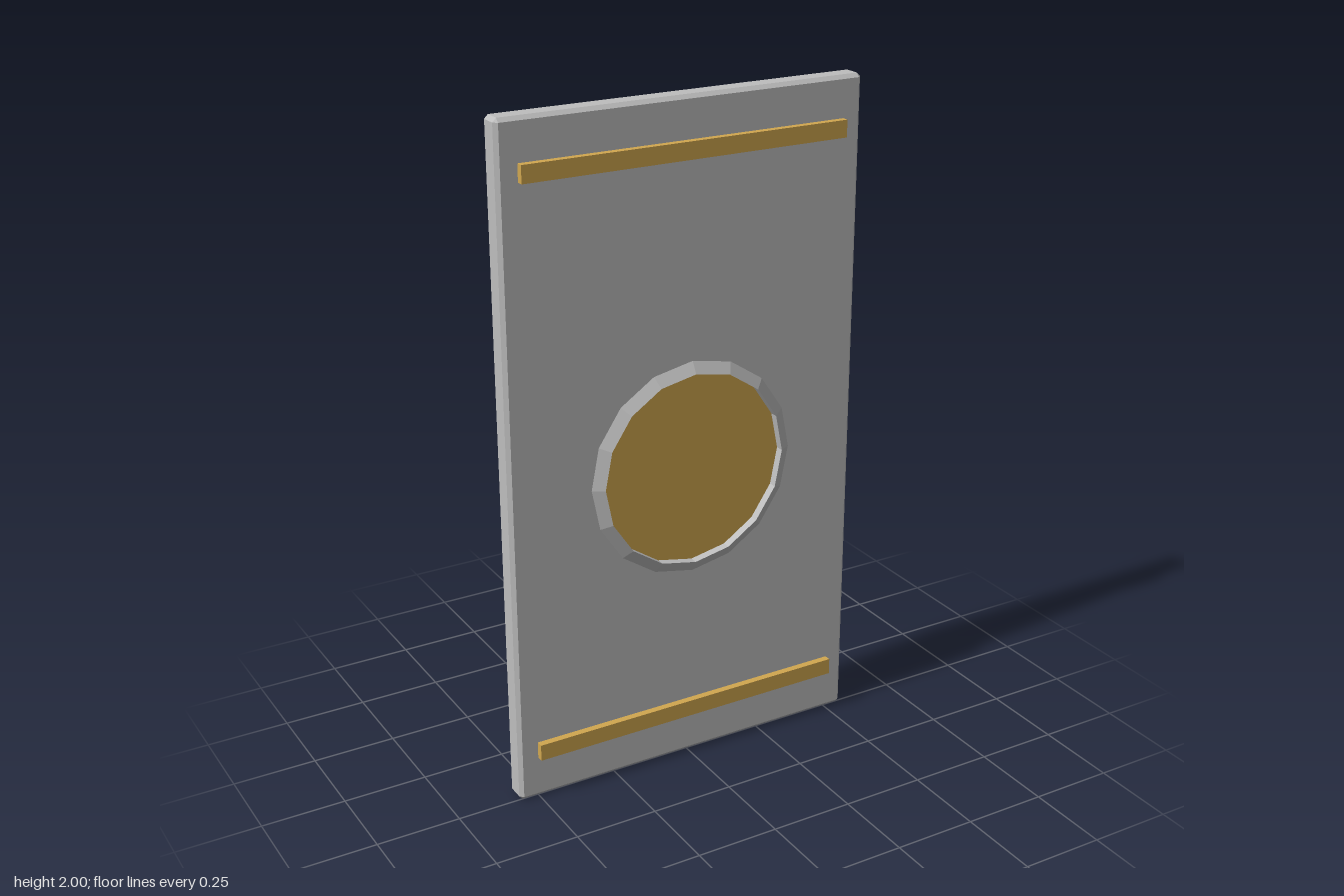
import * as THREE from 'three';
import { ConvexGeometry } from 'three/addons/geometries/ConvexGeometry.js';

// Box with flat chamfers on every edge and corner
function chamferedBox(w, h, d, c) {
  const points = [];
  for (const sx of [-1, 1]) for (const sy of [-1, 1]) for (const sz of [-1, 1]) {
    for (let axis = 0; axis < 3; axis++) {
      const inset = [c, c, c];
      inset[axis] = 0;
      points.push(new THREE.Vector3(
        sx * (w / 2 - inset[0]), sy * (h / 2 - inset[1]), sz * (d / 2 - inset[2])));
    }
  }
  return new ConvexGeometry(points);
}

export function createModel() {
  const model = new THREE.Group();
  model.name = 'panel';

  const grey = new THREE.MeshStandardMaterial({ color: 0xbebebe, flatShading: true });
  grey.name = 'grey metal';
  const gold = new THREE.MeshStandardMaterial({ color: 0xd1a74f, flatShading: true });
  gold.name = 'gold';

  const add = (name, geometry, material, y, z) => {
    const mesh = new THREE.Mesh(geometry, material);
    mesh.name = name;
    mesh.position.set(0, y, z);
    model.add(mesh);
    return mesh;
  };

  // Upright slab
  add('slab', chamferedBox(1.12, 2, 0.07, 0.011), grey, 1, -0.025);

  // Trim bars near the top and bottom
  const bar = new THREE.BoxGeometry(1, 0.05, 0.025);
  add('bottomBar', bar, gold, 0.155, 0.0185);
  add('topBar', bar, gold, 1.855, 0.0185);

  // Round emblem plate and its three-sided rim
  const disc = new THREE.CylinderGeometry(0.3, 0.3, 0.025, 16).rotateX(Math.PI / 2);
  add('disc', disc, gold, 0.942, 0.0185);
  add('discRim', new THREE.TorusGeometry(0.3, 0.0225, 3, 16), grey, 0.942, 0.037);

  return model;
}
